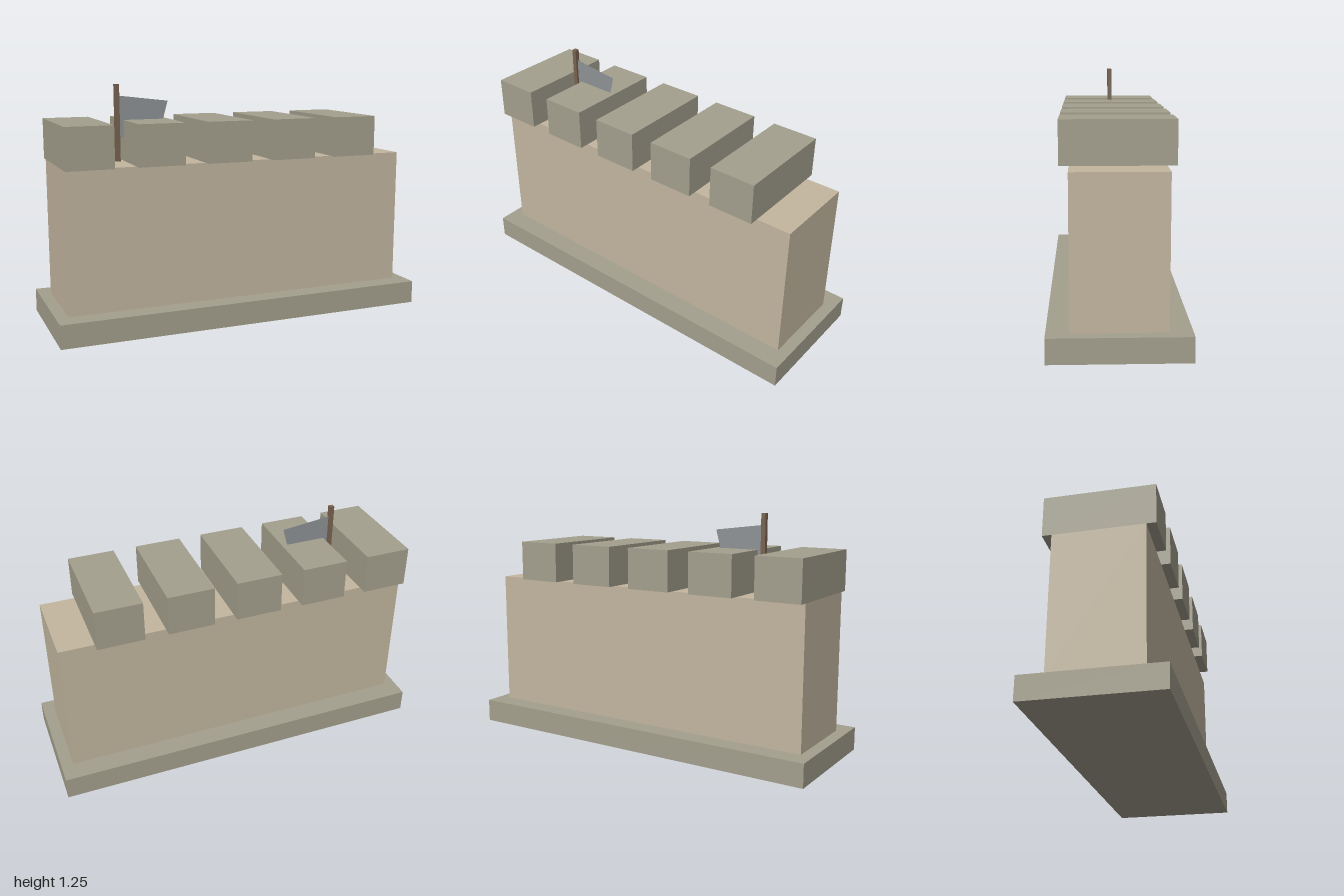
import * as THREE from 'three';

export function createModel() {
  const model = new THREE.Group();
  const material = (color, side = THREE.FrontSide) =>
    new THREE.MeshStandardMaterial({ color, side, flatShading: true });
  const stone = material(0xa4a08e);
  const sandstone = material(0xc4b7a0);
  const wood = material(0x7a6450);
  const cloth = material(0x8f9396, THREE.DoubleSide);

  // Box given by its size, left-right centre and underside height
  function block(name, width, height, depth, x, bottom, mat) {
    const mesh = new THREE.Mesh(new THREE.BoxGeometry(width, height, depth), mat);
    mesh.name = name;
    mesh.position.set(x, bottom + height / 2, 0);
    model.add(mesh);
  }

  block('base', 2, 0.122, 0.666, 0, 0, stone);
  block('wall', 1.876, 0.728, 0.45, 0, 0.122, sandstone);

  // Row of battlements, starting flush with the right end of the wall
  for (let i = 0; i < 5; i++) {
    block('merlon' + (i + 1), 0.242, 0.212, 0.544, -0.817 + i * 0.363, 0.85, stone);
  }

  // Flagpole standing in the first gap, with a thin flag
  block('flagpole', 0.024, 0.395, 0.024, -0.609, 0.85, wood);
  const outline = new THREE.Shape([
    new THREE.Vector2(-0.605, 0.97),
    new THREE.Vector2(-0.378, 1.0),
    new THREE.Vector2(-0.336, 1.155),
    new THREE.Vector2(-0.605, 1.187),
  ]);
  const flag = new THREE.Mesh(new THREE.ShapeGeometry(outline), cloth);
  flag.name = 'flag';
  model.add(flag);

  return model;
}
